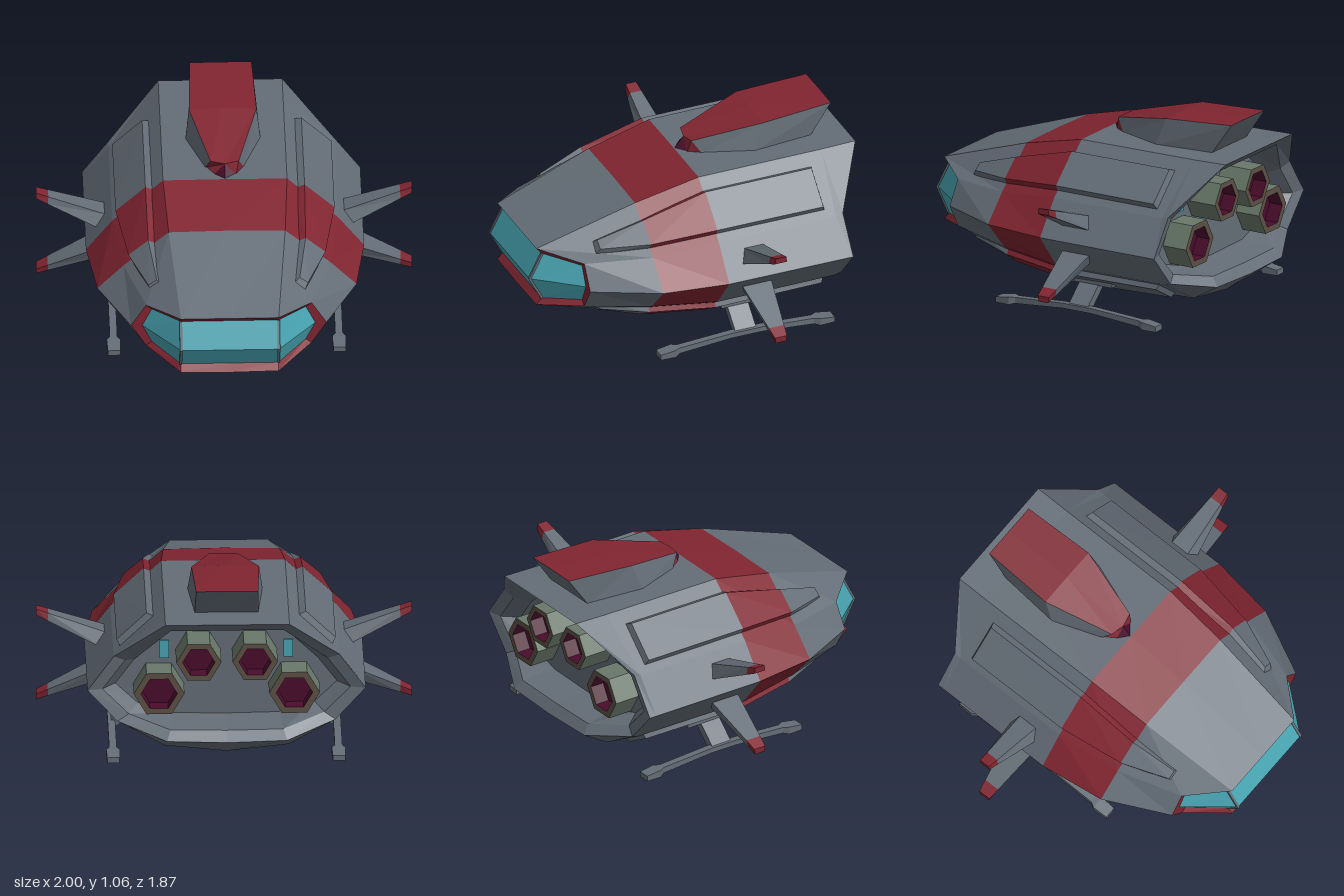
import * as THREE from 'three';

const mat = (name, color) => Object.assign(new THREE.MeshStandardMaterial({ color }), { name });

export function createModel() {
  const model = new THREE.Group();
  model.name = 'shuttle';
  const grey = mat('hull grey', 0x646d77);
  const red = mat('stripe red', 0x812531);
  const teal = mat('glass teal', 0x48a4b2);
  const green = mat('engine green', 0x68786a);
  const brown = mat('nozzle rim brown', 0x5c5045);
  const maroon = mat('nozzle maroon', 0x4a0c2c);
  maroon.side = THREE.DoubleSide;

  const add = (name, geo, material, parent = model) => {
    const g = geo.index ? geo.toNonIndexed() : geo;
    g.computeVertexNormals();
    const mesh = new THREE.Mesh(g, material);
    mesh.name = name;
    parent.add(mesh);
    return mesh;
  };

  // Faceted skin through cross-sections; capped skins are turned to face outward
  const loft = (rings, { caps = false, wrap = true } = {}) => {
    const tris = [];
    const n = rings[0].length;
    for (let i = 0; i < rings.length - 1; i++) {
      for (let k = 0; k < (wrap ? n : n - 1); k++) {
        const a = rings[i][k], b = rings[i][(k + 1) % n];
        const c = rings[i + 1][(k + 1) % n], d = rings[i + 1][k];
        tris.push([a, b, c], [a, c, d]);
      }
    }
    if (caps) {
      const f = rings[0], l = rings[rings.length - 1];
      for (let k = 1; k < n - 1; k++) tris.push([f[0], f[k + 1], f[k]], [l[0], l[k], l[k + 1]]);
      const v = (p) => new THREE.Vector3(...p);
      const volume = tris.reduce((s, [a, b, c]) => s + v(a).dot(v(b).cross(v(c))), 0);
      if (volume < 0) tris.forEach((t) => t.reverse());
    }
    const geo = new THREE.BufferGeometry();
    geo.setAttribute('position', new THREE.Float32BufferAttribute(tris.flat(2), 3));
    return geo;
  };
  const solid = (name, rings, material, parent) => add(name, loft(rings, { caps: true }), material, parent);

  // Half sections: top centre, top edge, shoulder, side tip, lower shoulder, lower edge, keel
  const frameIn = [[0, .585, .86], [.26, .585, .86], [.41, .55, .69], [.46, .445, .69], [.41, .34, .69], [.26, .31, .86], [0, .31, .86]];
  const front = [[0, .62, .89], [.26, .62, .89], [.44, .575, .69], [.52, .445, .69], [.44, .315, .69], [.26, .275, .89], [0, .27, .89]];
  const fore = [[0, .805, .34], [.31, .80, .34], [.55, .59, .34], [.69, .445, .34], [.53, .28, .34], [.31, .135, .34], [0, .11, .34]];
  const mid = [[0, .887, -.02], [.33, .885, -.02], [.60, .63, -.02], [.74, .445, -.02], [.58, .25, -.02], [.34, .10, -.02], [0, .062, -.02]];
  const aft = [[0, .89, -.73], [.33, .89, -.73], [.60, .63, -.7], [.74, .445, -.7], [.58, .255, -.7], [.33, .12, -.73], [0, .085, -.73]];
  const lip = [[0, .895, -.93], [.33, .895, -.93], [.60, .64, -.74], [.74, .445, -.74], [.58, .265, -.74], [.32, .20, -.87], [0, .19, -.87]];
  const rim = [[0, .83, -.85], [.30, .83, -.85], [.54, .61, -.72], [.66, .445, -.72], [.52, .30, -.72], [.30, .25, -.83], [0, .245, -.83]];
  const bay = [[0, .78, -.64], [.28, .78, -.64], [.49, .58, -.64], [.59, .445, -.64], [.47, .33, -.64], [.28, .27, -.64], [0, .265, -.64]];
  const full = (h) => [...h, ...h.slice(1, 6).reverse().map(([x, y, z]) => [-x, y, z])];

  add('windscreenFrame', loft([frameIn, front].map(full)), red);
  add('noseHull', loft([front, fore].map(full)), grey);
  add('hullStripe', loft([fore, mid].map(full)), red);
  add('rearHull', loft([mid, aft, lip, rim, bay].map(full)), grey);
  const wall = full(bay);
  add('engineBayWall', loft([wall, wall.map(() => [0, .5, -.64])]), grey);

  // Cockpit glass, with the middle row bulging forward
  const paneRow = (y, w, z, side) => [[side, y, .69], [w, y, z], [-w, y, z], [-side, y, .69]];
  const rows = [paneRow(.585, .26, .86, .41), paneRow(.445, .26, .932, .46), paneRow(.31, .26, .86, .41)];
  for (const r of [rows[0], rows[2]]) r[0][1] = r[3][1] = r === rows[0] ? .55 : .34;
  add('windscreen', loft(rows, { wrap: false }), teal);
  for (const s of [-1, 1]) {
    const bar = [[.585, .86], [.445, .932], [.31, .86]].map(([y, z]) =>
      [[-.007, .005], [.007, .005], [.007, -.02], [-.007, -.02]].map(([dx, dz]) => [s * .26 + dx, y, z + dz]));
    solid('windscreenBar', bar, grey);
  }

  // Raised rails follow the sloping hull facets between two section columns
  const columnAt = (k, z) => {
    const secs = [front, fore, mid, aft];
    let i = 0;
    while (i < 2 && z < secs[i + 1][k][2]) i++;
    const a = secs[i][k], b = secs[i + 1][k], t = (z - a[2]) / (b[2] - a[2]);
    return [a[0] + (b[0] - a[0]) * t, a[1] + (b[1] - a[1]) * t];
  };
  const railRing = (kS, kT, side, z, u0, u1, h, zTop = z) => {
    const S = columnAt(kS, z), T = columnAt(kT, z);
    const up = kT < kS ? 1 : -1;
    const dx = T[0] - S[0], dy = T[1] - S[1], len = Math.hypot(dx, dy);
    const nx = Math.abs(dy) / len, ny = up * Math.abs(dx) / len;
    const at = (u, o, zz) => [side * (S[0] + dx * u + nx * o), S[1] + dy * u + ny * o, zz];
    return [at(u0, -.03, z), at(u0 + .04, h, zTop), at(u1 - .08, h, zTop), at(u1, -.03, z)];
  };
  for (const side of [-1, 1]) {
    for (const [kS, kT, h] of [[2, 1, .034], [4, 5, .028]]) {
      const ring = (...a) => railRing(kS, kT, side, ...a);
      const r0 = ring(.62, .25, .62, h * .7, .59), r1 = ring(.34, .16, .72, h);
      const r2 = ring(-.02, .11, .82, h), r3 = ring(-.66, .11, .82, h, -.635);
      solid('railNose', [r0, r1], grey);
      solid('railStripe', [r1, r2], red);
      solid('railRear', [r2, r3], grey);
    }
  }

  // Dorsal fin: red cap, grey flanks and a dark pointed intake
  const fin = new THREE.Group();
  fin.name = 'dorsalFin';
  model.add(fin);
  const tip = [0, .88, -.02], peak = [0, .948, -.075];
  for (const s of [1, -1]) {
    const p = (x, y, z) => [s * x, y, z];
    const face = (name, pts, m) => {
      const q = s > 0 ? pts : [...pts].reverse();
      const tris = q.slice(2).flatMap((_, i) => [q[0], q[i + 1], q[i + 2]]);
      const g = new THREE.BufferGeometry();
      g.setAttribute('position', new THREE.Float32BufferAttribute(tris.flat(), 3));
      add(name, g, m, fin);
    };
    const R = p(.06, .88, -.07), E = p(.105, .88, -.14), B = p(.075, .955, -.09);
    const C = p(.18, 1.035, -.46), D = p(.165, 1.058, -.86);
    const C2 = p(.2, .88, -.4), D2 = p(.17, .88, -.735);
    face('finIntake', [tip, R, peak], maroon);
    face('finCheek', [R, E, B, peak], red);
    face('finCap', [peak, B, C, [0, 1.04, -.46]], red);
    face('finCap', [[0, 1.04, -.46], C, D, [0, 1.06, -.86]], red);
    face('finSide', [E, C2, C, B], grey);
    face('finSide', [C2, D2, D, C], grey);
    face('finBack', [D2, [0, .88, -.735], [0, 1.06, -.86], D], grey);
  }

  // Four tapered winglets with red tips
  for (const sx of [-1, 1]) {
    for (const sy of [-1, 1]) {
      const section = (t) => {
        const mixd = (a, b) => a + (b - a) * t;
        const top = mixd(.13, .26), low = mixd(.05, .228);
        const w = mixd(.09, .035), wt = mixd(.055, .03);
        return [[mixd(.62, 1), top, -.207 - wt], [mixd(.62, 1), top, -.207 + wt],
          [mixd(.64, 1), low, -.207 + w], [mixd(.64, 1), low, -.207 - w]]
          .map(([x, y, z]) => [sx * x, .445 + sy * y, z]);
      };
      solid('winglet', [section(0), section(.83)], grey);
      solid('wingletTip', [section(.83), section(1)], red);
    }
  }

  // Landing skids with slanted struts
  for (const s of [-1, 1]) {
    const half = [[.505, 0, .03, .033], [.42, 0, .042, .037], [.39, .008, .042, .02], [.09, .032, .06, .02]];
    const sections = [...half, ...[...half].reverse().map(([d, ...r]) => [-d, ...r])];
    solid('skid', sections.map(([d, y0, y1, w]) =>
      [[-w, y0], [w, y0], [w, y1], [-w, y1]].map(([x, y]) => [s * .6 + x, y, -.175 + d])), grey);
    const strut = [[.40, .235, .06], [.47, .15, .06], [.59, .04, .06]].map(([x, y, w]) =>
      [[.016, .016, w], [.016, .016, -w], [-.016, -.016, -w], [-.016, -.016, w]]
        .map(([dx, dy, dz]) => [s * (x + dx), y + dy, -.175 + dz]));
    solid('skidStrut', strut, grey);
    const mount = add('skidMount', new THREE.BoxGeometry(.07, .03, .24), grey);
    mount.position.set(s * .465, .165, -.2);
  }

  // Four hexagonal engine nozzles in the rear bay
  for (const [x, y, z, r] of [[.36, .44, -.785, .135], [.15, .635, -.825, .12]]) {
    for (const s of [-1, 1]) {
      const engine = new THREE.Group();
      engine.name = 'engine';
      engine.position.set(s * x, y, z);
      model.add(engine);
      const tube = (rad, depth) => new THREE.CylinderGeometry(rad, rad, depth, 6, 1, true, Math.PI / 2)
        .rotateX(Math.PI / 2).translate(0, 0, depth / 2);
      add('engineCasing', tube(r, .2), green, engine);
      add('nozzleRim', new THREE.RingGeometry(r * .72, r, 6, 1).rotateY(Math.PI), brown, engine);
      add('nozzleWall', tube(r * .72, .08), maroon, engine);
      add('nozzleFloor', new THREE.CircleGeometry(r * .72, 6).rotateY(Math.PI).translate(0, 0, .08), maroon, engine);
    }
  }

  // Glowing strips on the bay wall
  for (const s of [-1, 1]) {
    const strip = add('bayLight', new THREE.BoxGeometry(.05, .1, .008), teal);
    strip.position.set(s * .33, .64, -.645);
  }
  return model;
}
